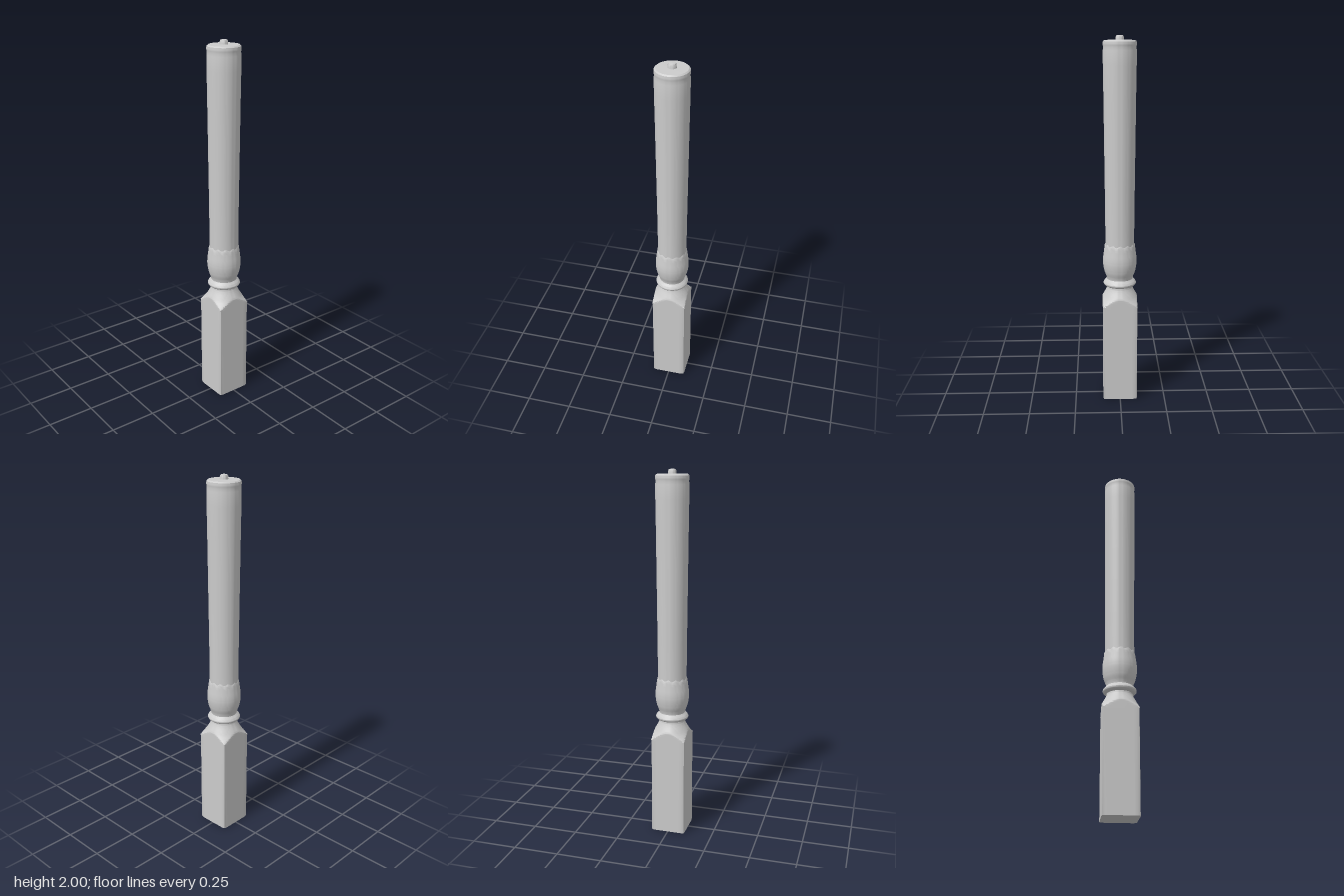
import * as THREE from 'three';
import { toCreasedNormals } from 'three/addons/utils/BufferGeometryUtils.js';

const material = new THREE.MeshStandardMaterial({ color: 0xcccccc });
const SEGMENTS = 64;
const HALF = 0.095; // half width of the square block

// Lathe a [radius, y] profile, optionally reshape each vertex, keep hard edges sharp
function turned(name, profile, reshape) {
  const points = profile.map(([r, y]) => new THREE.Vector2(r, y));
  const geometry = new THREE.LatheGeometry(points, SEGMENTS);
  if (reshape) {
    const pos = geometry.attributes.position;
    const v = new THREE.Vector3();
    for (let i = 0; i < pos.count; i++) {
      v.fromBufferAttribute(pos, i);
      reshape(v);
      pos.setXYZ(i, v.x, v.y, v.z);
    }
  }
  const mesh = new THREE.Mesh(toCreasedNormals(geometry, 0.6), material);
  mesh.name = name;
  return mesh;
}

// Smooth run of profile points through a few control points
function smooth(controls, count) {
  const curve = new THREE.SplineCurve(controls.map(([r, y]) => new THREE.Vector2(r, y)));
  return curve.getPoints(count).map((p) => [p.x, p.y]);
}

export function createModel() {
  const group = new THREE.Group();
  group.name = 'baluster';

  // Square block whose flared shoulder is trimmed flat on four sides
  const shoulder = smooth([
    [0.134, 0.55], [0.114, 0.568], [0.1, 0.585], [0.088, 0.605],
    [0.077, 0.625], [0.07, 0.642], [0.069, 0.66],
  ], 28);
  group.add(turned('squareBase', [[0, 0], [0.129, 0], [0.131, 0.004], [0.131, 0.54], ...shoulder], (v) => {
    const reach = Math.max(Math.abs(v.x), Math.abs(v.z));
    const k = reach > HALF ? HALF / reach : 1;
    v.x *= k;
    v.z *= k;
  }));

  // Rounded collar ring above the shoulder
  group.add(turned('neckRing', smooth([
    [0.066, 0.648], [0.082, 0.654], [0.09, 0.665], [0.086, 0.676], [0.076, 0.686], [0.068, 0.695],
  ], 20)));

  // Vase-shaped bulb with a lightly scalloped upper rim
  const bulb = smooth([
    [0.07, 0.685], [0.074, 0.705], [0.085, 0.735], [0.092, 0.775],
    [0.092, 0.81], [0.087, 0.85], [0.083, 0.88],
  ], 28);
  group.add(turned('bulb', [...bulb, [0.078, 0.89]], (v) => {
    if (v.y > 0.87) v.y += 0.005 * Math.cos(12 * Math.atan2(v.x, v.z));
  }));

  // Long shaft widening gently upward to a rounded top edge
  group.add(turned('shaft', [
    [0.079, 0.875], [0.079, 0.95], [0.08, 1.1], [0.082, 1.3], [0.084, 1.5],
    [0.086, 1.7], [0.088, 1.85], [0.088, 1.925], [0.086, 1.94], [0.088, 1.95],
    [0.089, 1.96], [0.087, 1.969], [0.08, 1.975], [0, 1.977],
  ]));

  // Small dowel pin on top
  group.add(turned('topPin', [
    [0.024, 1.97], [0.021, 1.98], [0.021, 1.992], [0.018, 1.998], [0.012, 2], [0, 2],
  ]));

  return group;
}
